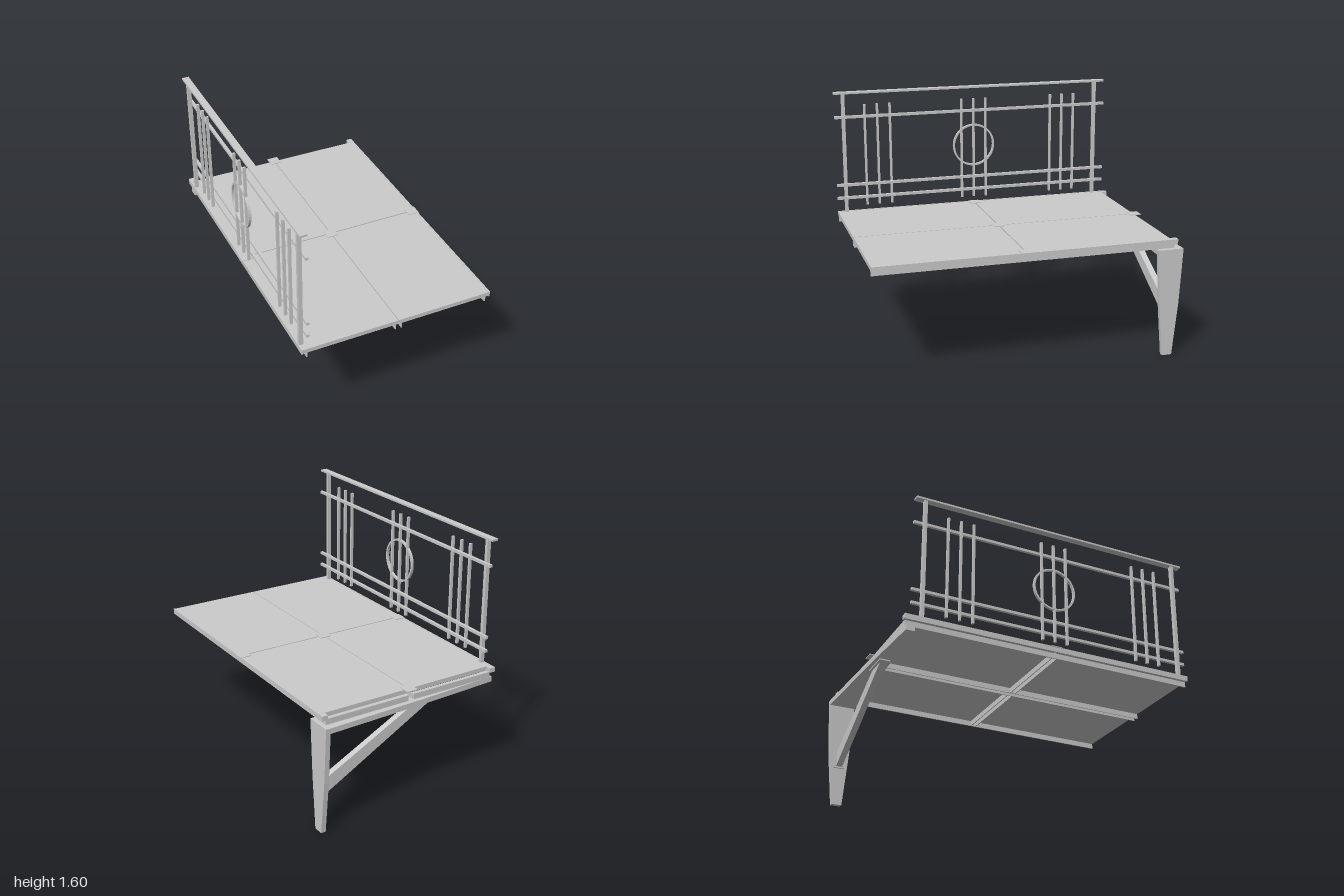
import * as THREE from 'three';

const material = new THREE.MeshStandardMaterial({ color: 0xcccccc, flatShading: true });

export function createModel() {
  const model = new THREE.Group();
  model.name = 'balconyPlatform';

  const add = (name, geometry, parent = model) => {
    const mesh = new THREE.Mesh(geometry, material);
    mesh.name = name;
    parent.add(mesh);
    return mesh;
  };
  const group = (name) => {
    const g = new THREE.Group();
    g.name = name;
    model.add(g);
    return g;
  };
  // Box given by its lower and upper limits on each axis
  const box = (name, [x0, x1], [y0, y1], [z0, z1], parent) => {
    const g = new THREE.BoxGeometry(x1 - x0, y1 - y0, z1 - z0);
    g.translate((x0 + x1) / 2, (y0 + y1) / 2, (z0 + z1) / 2);
    return add(name, g, parent);
  };
  const prism = (points, depth) => new THREE.ExtrudeGeometry(
    new THREE.Shape(points.map(([a, b]) => new THREE.Vector2(a, b))),
    { depth, bevelEnabled: false });

  // Deck: four panels with narrow seams
  const deck = group('deck');
  const seamZ = 0.037;
  for (const [x0, x1] of [[-0.628, -0.003], [0.003, 0.628]]) {
    for (const [z0, z1] of [[-0.92, seamZ - 0.004], [seamZ + 0.004, 0.995]]) {
      box('deckPanel', [x0, x1], [0.75, 0.778], [z0, z1], deck);
    }
  }

  // Underframe: long beams, cross beams and a back rail
  const frame = group('underframe');
  for (const s of [-1, 1]) {
    const span = (a, b) => (s > 0 ? [a, b] : [-b, -a]);
    box('edgeWeb', span(0.594, 0.602), [0.715, 0.75], [-0.94, 0.995], frame);
    box('edgeLip', span(0.622, 0.632), [0.745, 0.78], [-0.955, 0.995], frame);
    box('edgeBeamEnd', span(0.594, 0.632), [0.75, 0.78], [-0.96, -0.92], frame);
    box('centreWeb', span(0.017, 0.023), [0.715, 0.75], [-0.94, 0.995], frame);
    for (const z of [seamZ - 0.02, seamZ + 0.014]) {
      box('crossWeb', span(0.02, 0.6), [0.715, 0.75], [z, z + 0.006], frame);
    }
    box('backRail', span(0.02, 0.6), [0.715, 0.752], [-0.95, -0.925], frame);
  }

  // Thin cover plates where the panels meet
  const covers = group('coverPlates');
  for (const x of [-0.6, 0, 0.6]) {
    box('seamCover', [x - 0.037, x + 0.037], [0.777, 0.782], [seamZ - 0.037, seamZ + 0.037], covers);
  }
  box('backCover', [-0.037, 0.037], [0.777, 0.782], [-0.96, -0.885], covers);

  // Support beam, widening in plan towards the leg
  const beam = prism([[-0.62, 0.89], [0.61, 0.83], [0.61, 1.0], [-0.1, 0.975], [-0.62, 0.947]], 0.035);
  beam.rotateX(-Math.PI / 2).translate(0, 0.68, 0);
  add('supportBeam', beam);

  // Tapered leg, profile in z and y, extruded across x
  const leg = prism([
    [0.88, 0], [0.945, 0], [0.98, 0.35], [1.0, 0.715], [0.83, 0.715], [0.85, 0.35],
  ], 0.032);
  leg.rotateY(Math.PI / 2).translate(0.6, 0, 0);
  add('leg', leg);

  // Diagonal brace with its end plates
  const brace = group('brace');
  const arm = prism([[-0.17, 0.675], [0.595, 0.253], [0.595, 0.353], [-0.03, 0.675]], 0.04);
  arm.translate(0, 0, -0.935);
  add('braceArm', arm, brace);
  box('braceTopPlate', [-0.2, -0.01], [0.672, 0.68], [-0.95, -0.88], brace);
  box('braceLegPlate', [0.59, 0.602], [0.245, 0.36], [-0.95, -0.88], brace);

  // Railing: posts, handrail, rails, pickets and ring
  const railing = group('railing');
  box('handrail', [-0.633, -0.588], [1.59, 1.603], [-0.915, 1], railing);
  for (const z of [-0.85, 0.937]) {
    box('post', [-0.626, -0.6], [0.775, 1.592], [z - 0.011, z + 0.011], railing);
  }
  for (const y of [0.88, 0.97, 1.436]) {
    box('rail', [-0.601, -0.582], [y - 0.009, y + 0.009], [-0.915, 1], railing);
  }
  for (const centre of [0.708, 0.037, -0.607]) {
    for (const offset of [-0.086, 0, 0.086]) {
      const z = centre + offset;
      box('picket', [-0.618, -0.6], [0.82, 1.515], [z - 0.007, z + 0.007], railing);
    }
  }
  const band = [[0.135, -0.009], [0.147, -0.009], [0.147, 0.009], [0.135, 0.009], [0.135, -0.009]];
  const ring = new THREE.LatheGeometry(band.map(([r, h]) => new THREE.Vector2(r, h)), 40);
  ring.rotateZ(Math.PI / 2).translate(-0.609, 1.19, 0.037);
  add('ring', ring, railing);

  return model;
}
